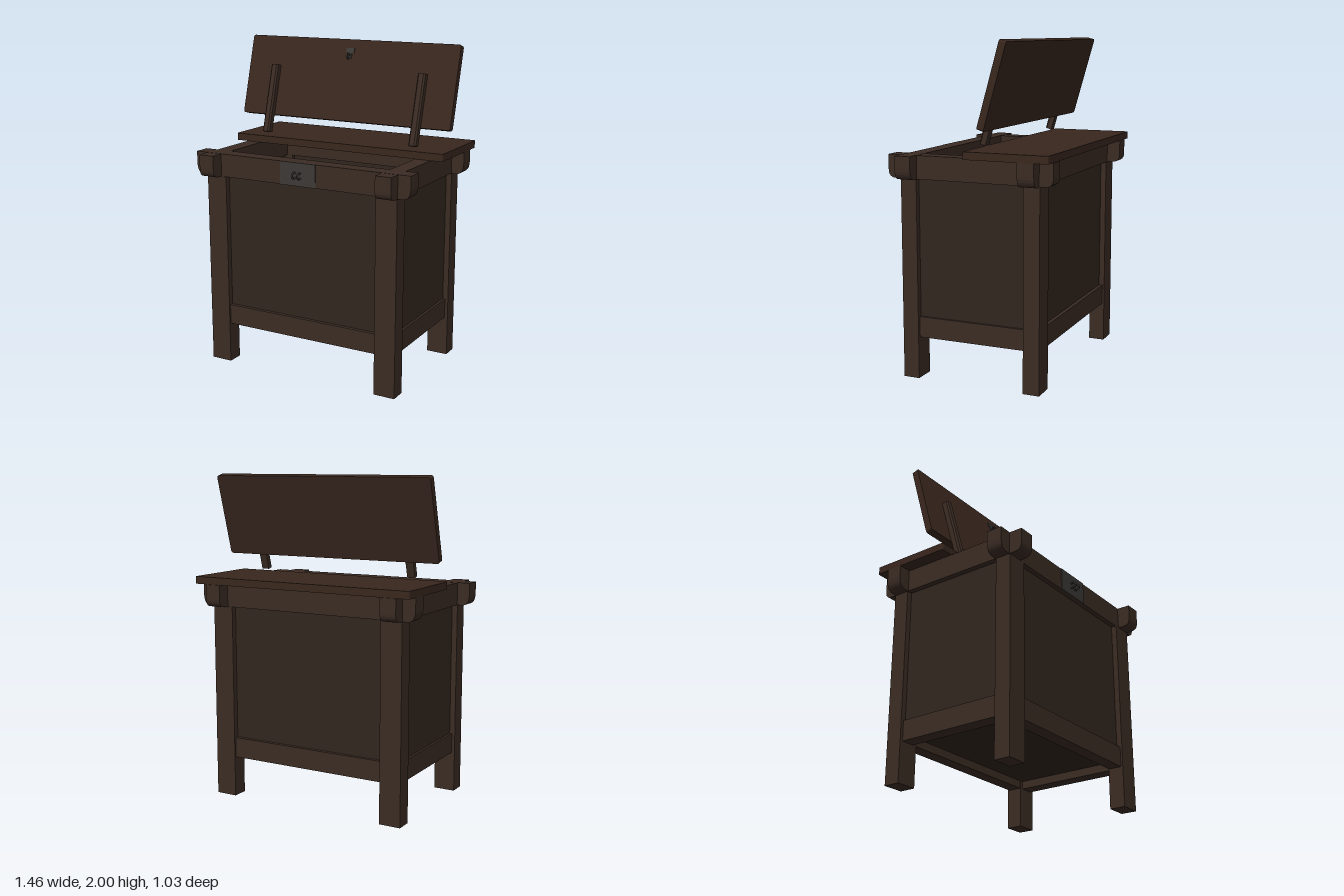
import * as THREE from 'three';

const wood = new THREE.MeshStandardMaterial({ color: 0x3b2c24 });
const panelWood = new THREE.MeshStandardMaterial({ color: 0x32261f });
const lidWood = new THREE.MeshStandardMaterial({ color: 0x39271e });
const iron = new THREE.MeshStandardMaterial({ color: 0x3c3936 });

function add(parent, name, geometry, material, x = 0, y = 0, z = 0) {
  const mesh = new THREE.Mesh(geometry, material);
  mesh.name = name;
  mesh.position.set(x, y, z);
  parent.add(mesh);
  return mesh;
}

const box = (parent, name, w, h, d, x, y, z, material = wood) =>
  add(parent, name, new THREE.BoxGeometry(w, h, d), material, x, y, z);

// Beam along x, centred, with rounded lower ends
function beamGeometry(half, bottom, top, depth, rx, ry) {
  const s = new THREE.Shape();
  s.moveTo(-half, top);
  s.lineTo(-half, bottom + ry);
  s.quadraticCurveTo(-half, bottom, -half + rx, bottom);
  s.lineTo(half - rx, bottom);
  s.quadraticCurveTo(half, bottom, half, bottom + ry);
  s.lineTo(half, top);
  s.closePath();
  return new THREE.ExtrudeGeometry(s, { depth, bevelEnabled: false, curveSegments: 6 })
    .translate(0, 0, -depth / 2);
}

// Board lying in the xy plane with slightly rounded corners
function boardGeometry(w, h, depth, r) {
  const x = w / 2, y = h / 2;
  const s = new THREE.Shape();
  s.moveTo(-x + r, -y);
  s.lineTo(x - r, -y);
  s.quadraticCurveTo(x, -y, x, -y + r);
  s.lineTo(x, y - r);
  s.quadraticCurveTo(x, y, x - r, y);
  s.lineTo(-x + r, y);
  s.quadraticCurveTo(-x, y, -x, y - r);
  s.lineTo(-x, -y + r);
  s.quadraticCurveTo(-x, -y, -x + r, -y);
  return new THREE.ExtrudeGeometry(s, { depth, bevelEnabled: false, curveSegments: 4 })
    .translate(0, 0, -depth / 2);
}

// Batten along y with chamfered front edges
function battenGeometry(w, length, d) {
  const c = 0.01, x = w / 2, y = d / 2;
  const s = new THREE.Shape([[-x, y], [-x, -y + c], [-x + c, -y], [x - c, -y], [x, -y + c], [x, y]]
    .map(p => new THREE.Vector2(...p)));
  return new THREE.ExtrudeGeometry(s, { depth: length, bevelEnabled: false })
    .translate(0, 0, -length / 2).rotateX(-Math.PI / 2);
}

export function createModel() {
  const model = new THREE.Group();
  model.name = 'chestWithRaisedLid';

  // Four legs
  for (const sx of [-1, 1]) for (const sz of [-1, 1])
    box(model, 'leg', 0.135, 1.2, 0.1, sx * 0.5775, 0.6, sz * 0.385);

  // Crossed top rails, running past the corners
  for (const s of [-1, 1]) {
    add(model, 'longTopRail', beamGeometry(0.725, 1.2, 1.34, 0.1, 0.05, 0.07), wood, 0, 0, s * 0.381);
    const side = add(model, 'shortTopRail', beamGeometry(0.515, 1.201, 1.339, 0.1, 0.05, 0.05), wood, s * 0.595, 0, 0);
    side.rotation.y = Math.PI / 2;
  }

  // Lower rails and recessed panels
  for (const s of [-1, 1]) {
    box(model, 'longLowerRail', 1.03, 0.125, 0.085, 0, 0.3125, s * 0.38);
    box(model, 'shortLowerRail', 0.09, 0.125, 0.69, s * 0.58, 0.3125, 0);
    box(model, 'longPanel', 1.03, 0.84, 0.04, 0, 0.785, s * 0.38, panelWood);
    box(model, 'shortPanel', 0.04, 0.84, 0.68, s * 0.59, 0.785, 0, panelWood);
  }
  box(model, 'floor', 1.08, 0.03, 0.7, 0, 0.315, 0, panelWood);

  // Fixed rear half of the top
  const shelf = add(model, 'rearTopBoard', boardGeometry(1.45, 0.515, 0.045, 0.015), lidWood, 0, 1.3625, -0.2575);
  shelf.rotation.x = -Math.PI / 2;

  // Raised lid, leaning back
  const lid = new THREE.Group();
  lid.name = 'lid';
  lid.position.set(0, 1.75, -0.18);
  lid.rotation.x = -0.278;
  model.add(lid);
  add(lid, 'lidBoard', boardGeometry(1.455, 0.51, 0.043, 0.015), lidWood);
  for (const s of [-1, 1])
    add(lid, 'lidBatten', battenGeometry(0.05, 0.435, 0.042), wood, s * 0.515, -0.152, 0.0425);

  // Hasp under the lid
  box(lid, 'haspPlate', 0.056, 0.03, 0.006, 0, 0.185, 0.024, iron);
  box(lid, 'haspStem', 0.026, 0.04, 0.006, 0, 0.155, 0.024, iron);
  const ring = add(lid, 'haspRing', new THREE.TorusGeometry(0.015, 0.005, 8, 20), iron, 0, 0.146, 0.04);
  ring.rotation.y = Math.PI / 2;

  // Lock plate with two staples
  box(model, 'lockPlate', 0.24, 0.14, 0.006, 0, 1.27, 0.433, iron);
  for (const s of [-1, 1]) {
    const curve = new THREE.CatmullRomCurve3([[1.25, 0.43], [1.25, 0.46], [1.265, 0.47], [1.28, 0.46], [1.28, 0.43]]
      .map(([y, z]) => new THREE.Vector3(s * 0.018, y, z)));
    add(model, 'lockStaple', new THREE.TubeGeometry(curve, 16, 0.006, 8), iron);
  }
  return model;
}
